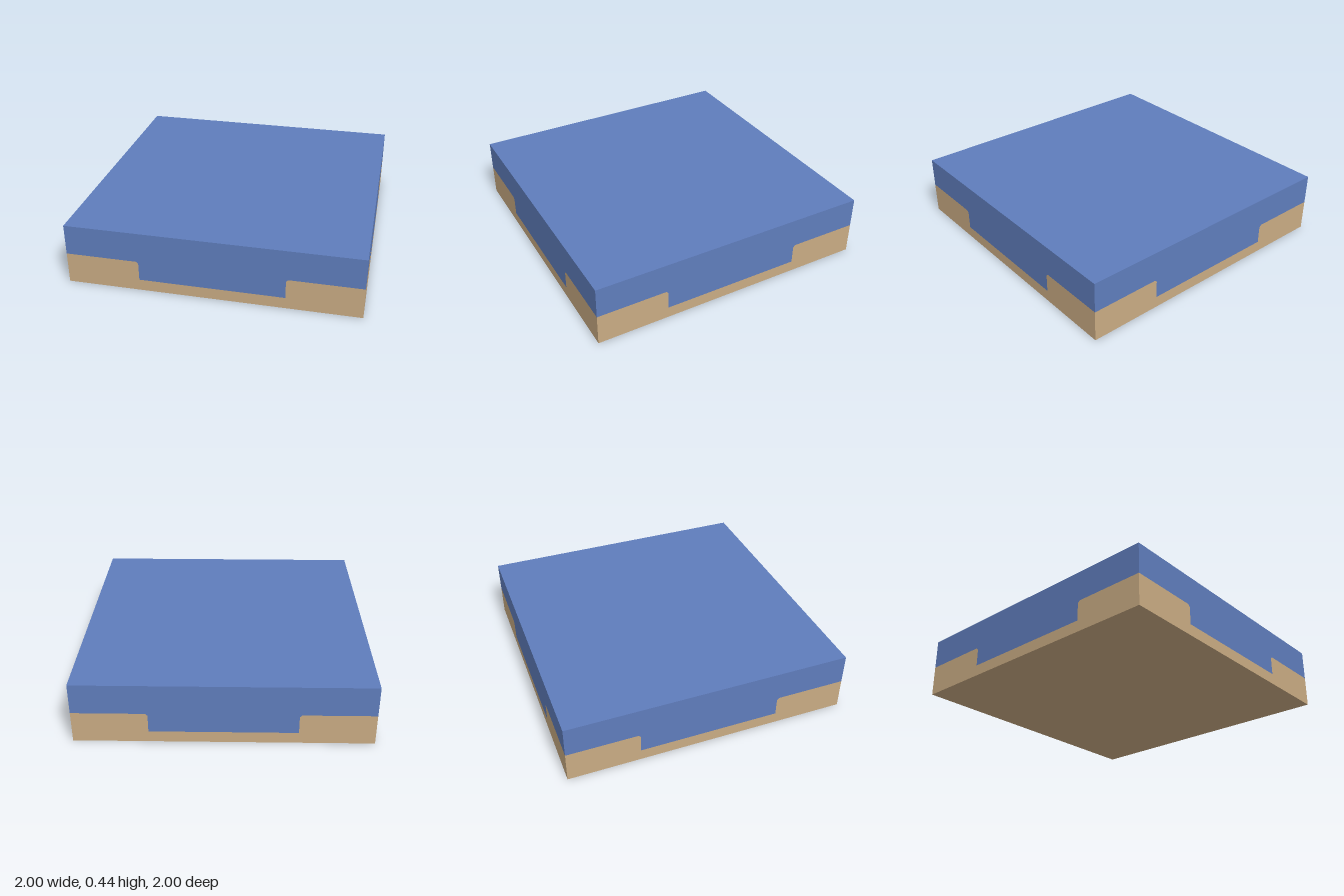
import * as THREE from 'three';

const HEIGHT = 0.435, SHORE = 0.22, BED = 0.08, CHANNEL = 0.495, BEVEL = 0.015;

// Boundary between the two layers, from left edge to right edge
const half = [[1, SHORE], [CHANNEL + BEVEL, SHORE], [CHANNEL, SHORE - BEVEL], [CHANNEL, BED]];
const boundary = [...half.map(([x, y]) => [-x, y]), ...half.slice().reverse()];

// Fills the area between the boundary and a horizontal edge
function layerGeometry(edgeY) {
  const points = [[-1, edgeY], ...boundary, [1, edgeY]];
  return new THREE.ShapeGeometry(new THREE.Shape(points.map(([x, y]) => new THREE.Vector2(x, y))));
}

export function createModel() {
  const blue = new THREE.MeshStandardMaterial({ color: 0x5f7dbc });
  blue.name = 'blue';
  const sand = new THREE.MeshStandardMaterial({ color: 0xc9ab83 });
  sand.name = 'sand';

  const model = new THREE.Group();
  model.name = 'layeredTile';
  const add = (parent, name, geometry, material) => {
    const mesh = new THREE.Mesh(geometry, material);
    mesh.name = name;
    parent.add(mesh);
    return mesh;
  };

  // Four identical two-coloured walls
  const lower = layerGeometry(0), upper = layerGeometry(HEIGHT);
  ['front', 'left', 'back', 'right'].forEach((side, i) => {
    const wall = new THREE.Group();
    wall.name = side + 'Wall';
    wall.rotation.y = i * Math.PI / 2;
    add(wall, side + 'SandBank', lower, sand).position.z = 1;
    add(wall, side + 'BlueLayer', upper, blue).position.z = 1;
    model.add(wall);
  });

  // Flat top and underside
  const top = add(model, 'topSurface', new THREE.PlaneGeometry(2, 2), blue);
  top.rotation.x = -Math.PI / 2;
  top.position.y = HEIGHT;
  const base = add(model, 'underside', new THREE.PlaneGeometry(2, 2), sand);
  base.rotation.x = Math.PI / 2;

  return model;
}
